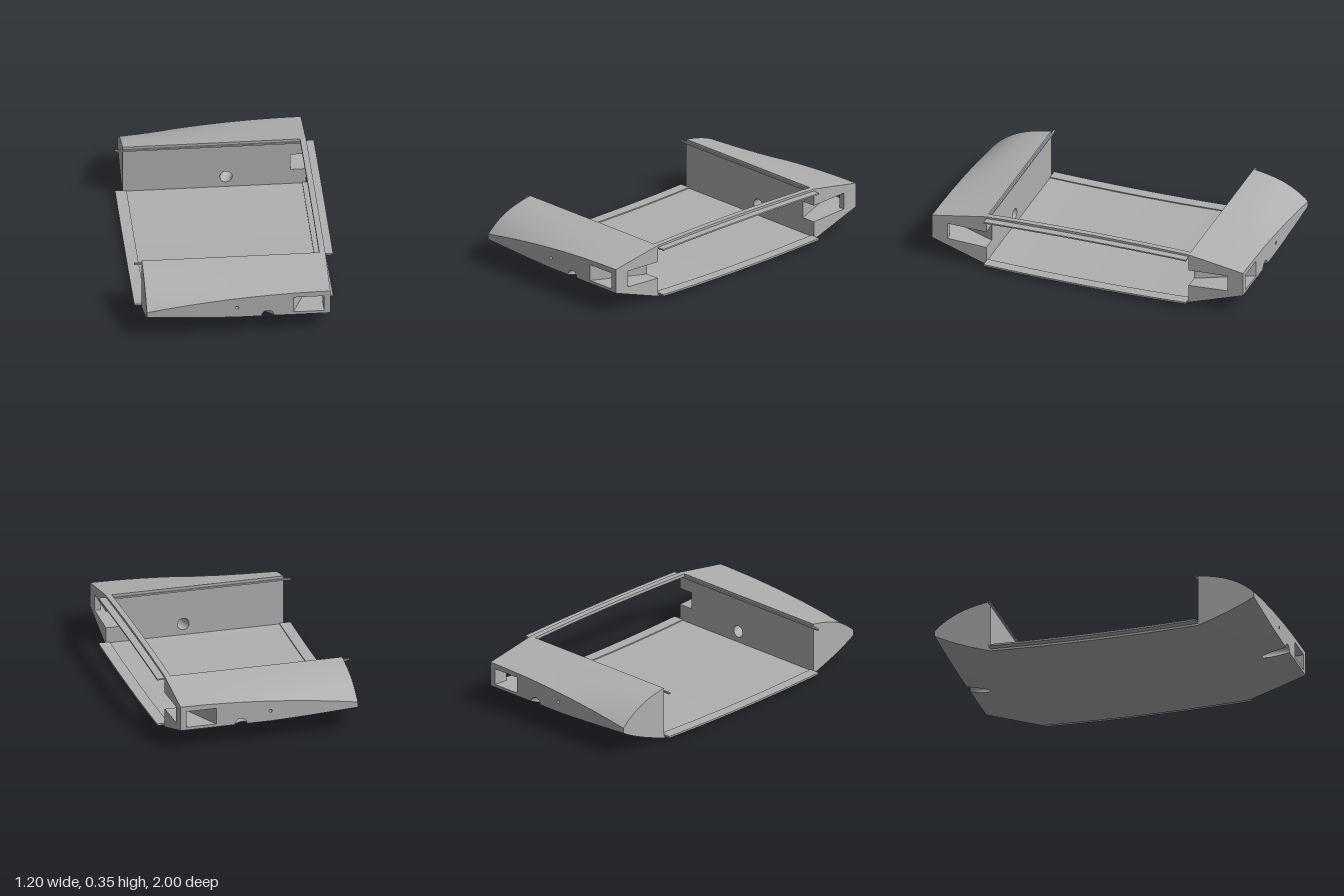
import * as THREE from 'three';

const X0 = -0.555, X1 = 0.553;        // ends of the body
const ZI = 0.65, DZ = 0.35;           // inner wall and depth of a side block
const TOP = 0.342, BASE = 0.013;      // heights at the inner wall

// heights of the outer face's upper and lower edge along x
const edgeTop = x => 0.283 - 0.093 * (1 - (x - X0) / (X1 - X0)) ** 2;
const edgeLow = x => 0.13 + 0.027 * (Math.max(0, -x) / 0.555) ** 1.3;
// block skins: t = 0 at the inner wall, 1 at the outer face
const topY = (x, t) => TOP - 0.06 * t - (TOP - 0.06 - edgeTop(x)) * t ** 3;
const lowY = (x, t) => BASE + 0.117 * t + (edgeLow(x) - 0.13) * t ** 3;

// oblique cable bore
const R = 0.037;
const boreX = t => 0.07 + 0.105 * t, boreY = t => 0.1 + 0.03 * t;
const boreEnd = a => Math.min(1, 1 + (R / 0.087) * Math.sin(a));

// pocket ceiling and floor heights
const ceilY = z => 0.25 - 0.015 * (1 - z) / DZ;
const sillY = z => 0.148 - 0.018 * (1 - z) / DZ;

const V = a => a.map(p => new THREE.Vector2(p[0], p[1]));
const range = (n, f) => Array.from({ length: n + 1 }, (_, i) => f(i / n));

function remap(geo, f) {
  const p = geo.attributes.position;
  for (let i = 0; i < p.count; i++) p.setXYZ(i, ...f(p.getX(i), p.getY(i), p.getZ(i)));
  geo.computeVertexNormals();
  return geo;
}
// curved sheet, f(u, v) with u and v from 0 to 1
const sheet = (nu, nv, f) =>
  remap(new THREE.PlaneGeometry(1, 1, nu, nv), (x, y) => f(x + 0.5, y + 0.5));
// flat outline with holes, mapped into place by f(a, b)
function panel(outline, holes, f) {
  const s = new THREE.Shape(V(outline));
  holes.forEach(h => s.holes.push(new THREE.Path(V(h))));
  return remap(new THREE.ShapeGeometry(s), f);
}
const circle = (x, y, r) =>
  range(23, k => [x + r * Math.cos(k * 23 / 24 * 2 * Math.PI), y + r * Math.sin(k * 23 / 24 * 2 * Math.PI)]);

export function createModel() {
  const model = new THREE.Group();
  model.name = 'openTray';
  const grey = new THREE.MeshStandardMaterial({ color: 0xb0b0b0, side: THREE.DoubleSide });
  grey.name = 'grey';
  const add = (parent, name, geo) => {
    const m = new THREE.Mesh(geo, grey);
    m.name = name;
    parent.add(m);
    return m;
  };

  function sideBlock(name) {
    const g = new THREE.Group();
    g.name = name;

    // upper skin, rounding off toward the right end
    add(g, 'upperSkin', sheet(40, 16, (u, t) => {
      const x = X0 + u * (X1 - X0);
      return [x, topY(x, t), ZI + DZ * t];
    }));

    // lower skin: curved part, then the flat part with the bore's cutout
    add(g, 'lowerSkinCurved', sheet(24, 16, (u, t) => {
      const x = X0 * (1 - u);
      return [x, lowY(x, t), ZI + DZ * t];
    }));
    const cut = range(20, k => {
      const a = Math.PI * (2 - k), t = boreEnd(a);
      return [boreX(t) + R * Math.cos(a), t];
    });
    add(g, 'lowerSkinFlat', panel([[0, 0], [X1, 0], [X1, 1], ...cut, [0, 1]], [],
      (x, t) => [x, lowY(x, t), ZI + DZ * t]));

    // outer face with window, pin hole and bore notch
    const low = range(20, k => [X0 * (1 - k), edgeLow(X0 * (1 - k))]);
    const notch = range(16, k => [0.175 - R * Math.cos(Math.PI * k), 0.13 + R * Math.sin(Math.PI * k)]);
    const high = range(40, k => X1 + k * (X0 - X1)).map(x => [x, edgeTop(x)]);
    add(g, 'outerFace', panel([...low, ...notch, [X1, 0.13], ...high],
      [circle(-0.01, 0.195, 0.01),
        [[0.33, sillY(1)], [0.515, sillY(1)], [0.515, ceilY(1)], [0.33, ceilY(1)]]],
      (x, y) => [x, y, 1]));

    // inner wall with the bore and the corner notch
    add(g, 'innerWall', panel([[X0, BASE], [X1, BASE], [X1, sillY(ZI)], [0.46, sillY(ZI)],
      [0.46, ceilY(ZI)], [X1, ceilY(ZI)], [X1, TOP], [X0, TOP]],
    [circle(boreX(0), boreY(0), R)], (x, y) => [x, y, ZI]));

    // end faces
    add(g, 'openEnd', panel([[ZI, BASE], [1, 0.13], [1, edgeTop(X1)], [ZI, TOP],
      [ZI, ceilY(ZI)], [0.9, ceilY(0.9)], [0.9, sillY(0.9)], [ZI, sillY(ZI)]], [],
    (z, y) => [X1, y, z]));
    add(g, 'closedEnd', panel([
      ...range(16, t => [ZI + DZ * t, lowY(X0, t)]),
      ...range(16, t => [ZI + DZ * (1 - t), topY(X0, 1 - t)])], [],
    (z, y) => [X0, y, z]));

    // connector pocket: floor, ceiling and upright walls
    const plan = [[0.33, 1], [0.46, ZI], [X1, ZI], [X1, 0.9], [0.515, 0.9], [0.515, 1]];
    add(g, 'pocketFloor', panel(plan, [], (x, z) => [x, sillY(z), z]));
    add(g, 'pocketCeiling', panel(plan, [], (x, z) => [x, ceilY(z), z]));
    [[0, 1], [3, 4], [4, 5]].forEach(([i, j]) => {
      const a = plan[i], b = plan[j];
      add(g, 'pocketWall', sheet(1, 1, (u, v) => {
        const z = a[1] + u * (b[1] - a[1]);
        return [a[0] + u * (b[0] - a[0]), sillY(z) + v * (ceilY(z) - sillY(z)), z];
      }));
    });

    // bore and pin hole linings
    add(g, 'cableBore', sheet(40, 1, (u, v) => {
      const a = u * 2 * Math.PI, t = v * boreEnd(a);
      return [boreX(t) + R * Math.cos(a), boreY(t) + R * Math.sin(a), ZI + DZ * t];
    }));
    const pin = add(g, 'pinHole', new THREE.CylinderGeometry(0.01, 0.01, DZ, 24, 1, true));
    pin.rotation.x = Math.PI / 2;
    pin.position.set(-0.01, 0.195, ZI + DZ / 2);

    // thin guide strip along the top of the inner wall
    const strip = add(g, 'guideStrip', new THREE.BoxGeometry(1.12, 0.01, 0.012));
    strip.position.set(-0.04, 0.32, ZI - 0.003);
    model.add(g);
    return g;
  }
  sideBlock('frontBlock');
  sideBlock('backBlock').scale.z = -1;

  // slightly bowed plate spanning between the two blocks
  function bowed(name, x0, x1, y0, y1, bow) {
    const geo = new THREE.BoxGeometry(x1 - x0, y1 - y0, 2 * ZI, 1, 1, 20).toNonIndexed();
    add(model, name, remap(geo, (x, y, z) =>
      [x + (x0 + x1) / 2, y + (y0 + y1) / 2 + bow * (z / ZI) ** 2, z]));
  }
  bowed('floor', X0, X1, 0, 0.018, 0.013);
  bowed('leftFloorLip', 0.53, 0.6, 0.014, 0.025, 0.012);
  bowed('rightFloorLip', -0.6, -0.53, 0.014, 0.025, 0.012);
  bowed('topRail', 0.517, X1, 0.334, 0.353, -0.011);
  bowed('topRailLip', 0.54, 0.6, 0.329, 0.338, -0.008);

  return model;
}
